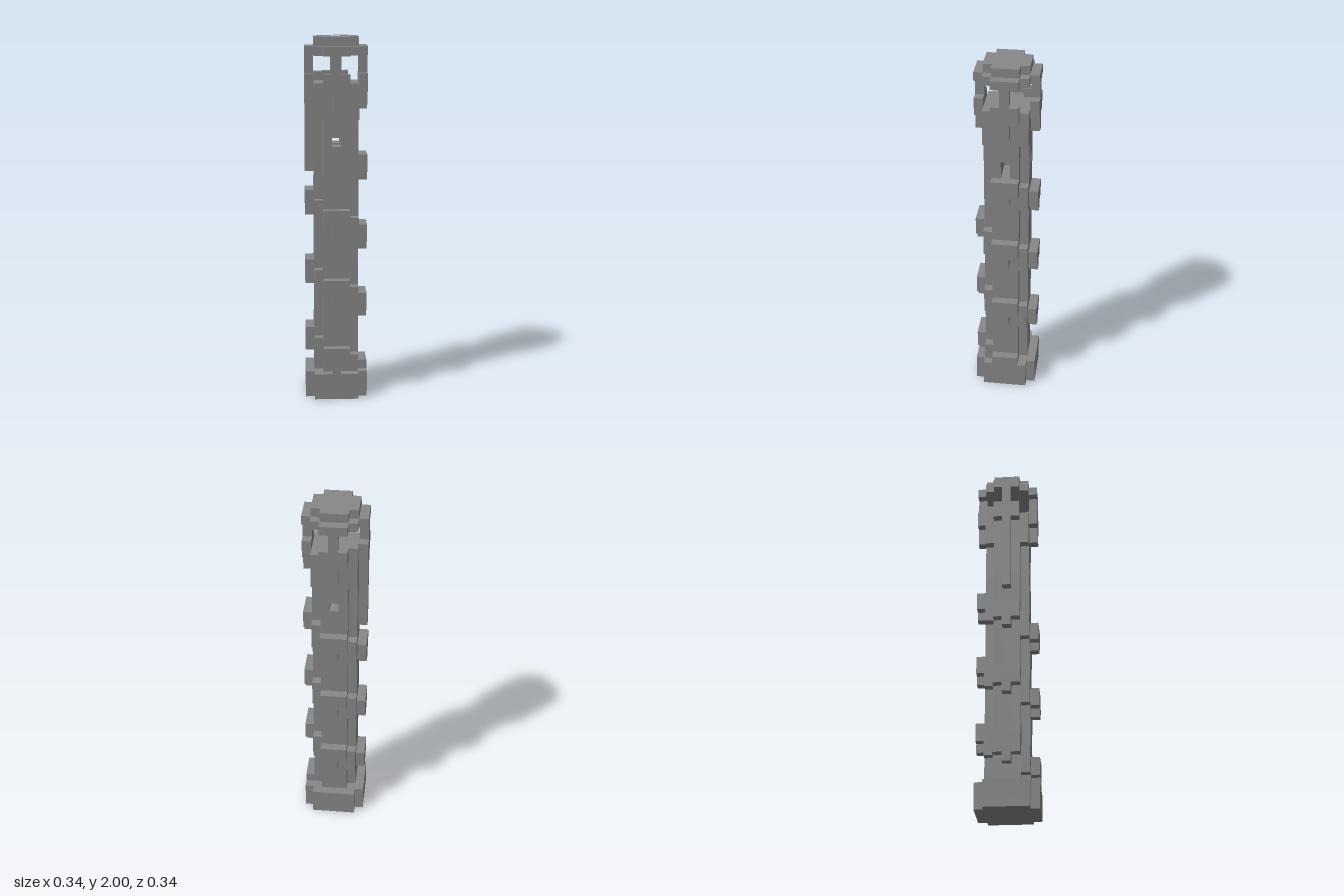
import * as THREE from 'three';

const U = 2 / 41; // one block
const stone = new THREE.MeshStandardMaterial({ color: 0x888888 });
stone.name = 'grey stone';

export function createModel() {
  const tower = new THREE.Group();
  tower.name = 'tower';

  const add = (name, geometry, parent = tower) => {
    const mesh = new THREE.Mesh(geometry, stone);
    mesh.name = name;
    parent.add(mesh);
    return mesh;
  };

  // box given by its limits in blocks
  const box = (name, x0, x1, y0, y1, z0, z1, parent) => {
    const g = new THREE.BoxGeometry((x1 - x0) * U, (y1 - y0) * U, (z1 - z0) * U);
    g.translate((x0 + x1) / 2 * U, (y0 + y1) / 2 * U, (z0 + z1) / 2 * U);
    return add(name, g, parent);
  };

  // upright prism from a plan outline [x, z] in blocks, with optional central shaft
  const prism = (name, plan, y0, y1, hole) => {
    const points = (list) => list.map(([x, z]) => new THREE.Vector2(x * U, -z * U));
    const shape = new THREE.Shape(points(plan));
    if (hole) shape.holes.push(new THREE.Path(points(hole)));
    const g = new THREE.ExtrudeGeometry(shape, { depth: (y1 - y0) * U, bevelEnabled: false });
    g.rotateX(-Math.PI / 2);
    g.translate(0, y0 * U, 0);
    return add(name, g);
  };

  // repeats one quarter of an outline on all four sides
  const fourfold = (quarter) => [0, 1, 2, 3].flatMap((k) => quarter.map(([x, z]) => {
    for (let i = 0; i < k; i++) [x, z] = [-z, x];
    return [x, z];
  }));
  const plus = (long, short) => fourfold([[long, -short], [long, short], [short, short]]);
  const square = (h) => fourfold([[h, h]]);

  // base and shaft with notched corners
  prism('base', plus(3.5, 2.5), 0, 3);
  prism('lowerShaft', plus(2.5, 1.5), 3, 28);
  prism('upperShaft', plus(2.5, 1.5), 30, 32);
  prism('shaftHead', square(2.5), 32, 36);

  // chamber storey: doorway on the left, small windows front and back
  prism('doorStorey', [
    [2.5, 0.5], [2.5, 1.5], [1.5, 1.5], [1.5, 2.5], [-1.5, 2.5], [-1.5, 1.5], [-2.5, 1.5],
    [-2.5, -1.5], [-1.5, -1.5], [-1.5, -2.5], [1.5, -2.5], [1.5, -1.5], [2.5, -1.5],
    [2.5, -0.5], [-0.5, -0.5], [-0.5, 0.5],
  ], 28, 29);
  prism('windowStoreyRight', [
    [-0.5, 2.5], [-1.5, 2.5], [-1.5, 1.5], [-2.5, 1.5],
    [-2.5, -1.5], [-1.5, -1.5], [-1.5, -2.5], [-0.5, -2.5],
  ], 29, 30);
  for (const s of [1, -1]) {
    prism('windowStoreyLeft', [
      [0.5, 0.5], [2.5, 0.5], [2.5, 1.5], [1.5, 1.5], [1.5, 2.5], [0.5, 2.5],
    ].map(([x, z]) => [x, z * s]), 29, 30);
  }

  // spiral stair: landings on each side (front, right, back, left), corner steps between
  for (let i = -1; i <= 11; i++) {
    const top = 6 + 2 * i;
    const step = new THREE.Group();
    step.name = 'stairStep';
    step.rotation.y = -i * Math.PI / 2;
    tower.add(step);
    box('landing', -1.5, 1.5, top - 2, top, 2.5, 3.5, step);
    box('bracket', -0.5, 0.5, top - 3, top - 2, 2.5, 3.5, step);
    if (i < 11) box('cornerStep', -2.5, -1.5, Math.max(top - 2, 2), top + 1, 1.5, 2.5, step);
  }

  // lookout: parapets, brackets and pillars on all four sides
  for (let i = 0; i < 4; i++) {
    const side = new THREE.Group();
    side.name = 'lookoutSide';
    side.rotation.y = -i * Math.PI / 2;
    tower.add(side);
    box('parapet', -1.5, 1.5, 35, 37, 2.5, 3.5, side);
    box('parapetBracket', -0.5, 0.5, i === 1 ? 26 : 33, 35, 2.5, 3.5, side); // long one on the right
    box('pillar', -0.5, 0.5, 37, 39, 2.5, 3.5, side);
  }
  box('cornerBlock', -2.5, -1.5, 36, 37, -2.5, -1.5);

  // roof with a smoke hole
  const eaves = fourfold([[3.5, -1.5], [3.5, 1.5], [2.5, 1.5], [2.5, 2.5], [1.5, 2.5]]);
  prism('eaves', eaves, 39, 40, square(0.5));
  prism('roofCap', plus(2.5, 1.5), 40, 41, square(0.5));

  return tower;
}
